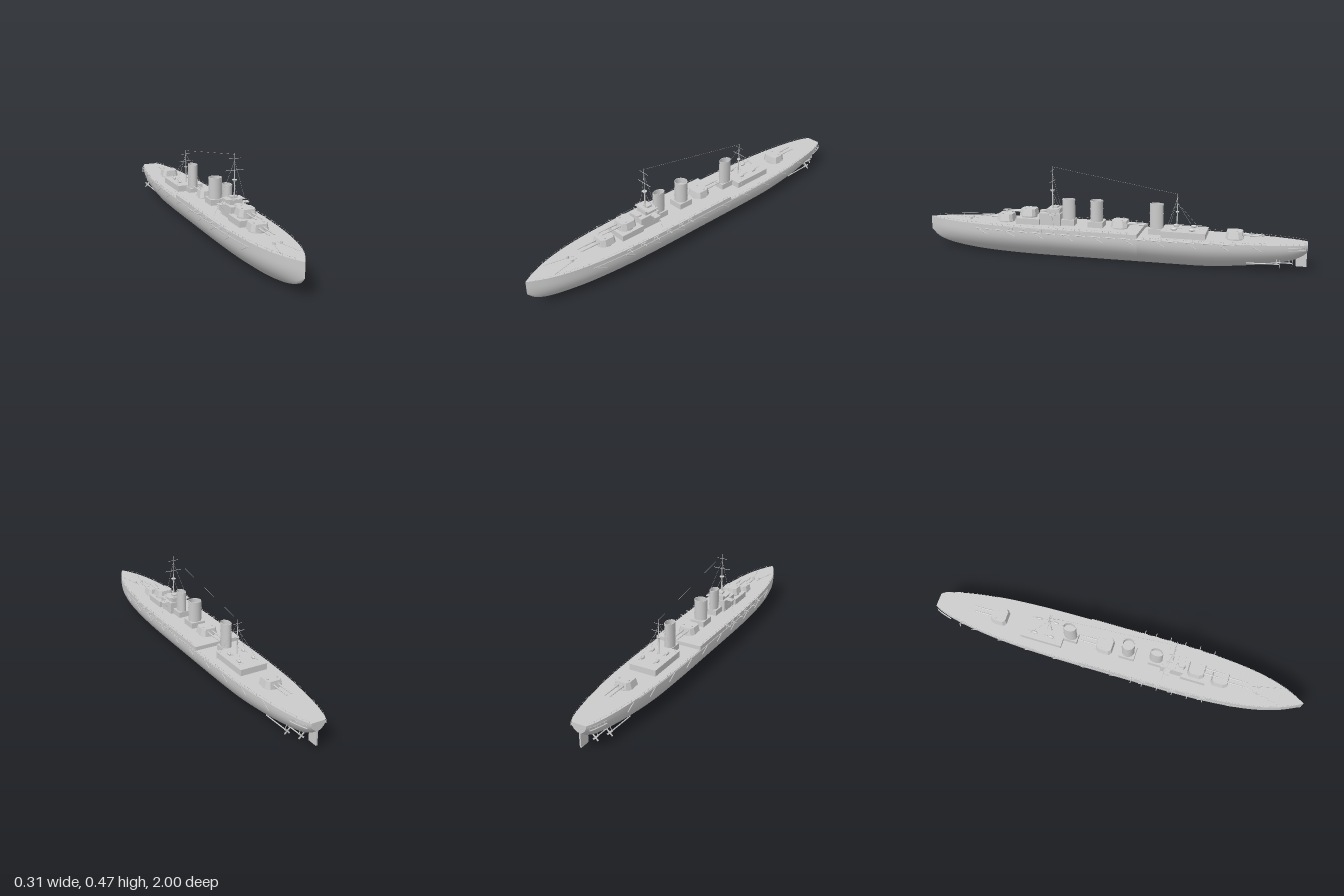
import * as THREE from 'three';
import { mergeGeometries, toCreasedNormals } from 'three/addons/utils/BufferGeometryUtils.js';

const mat = new THREE.MeshStandardMaterial({ color: 0xcccccc });
const two = new THREE.MeshStandardMaterial({ color: 0xcccccc, side: THREE.DoubleSide });
const V = (x, y, z) => new THREE.Vector3(x, y, z);
const FORE = 0.163, AFT = 0.143, STEP = -0.172;

// Hull lines: z, half beam, keel height
const lines = [[-1, 0.037, 0.1], [-0.975, 0.05, 0.08], [-0.92, 0.068, 0.055], [-0.8, 0.092, 0.031],
  [-0.65, 0.11, 0.012], [-0.5, 0.12, 0.001], [-0.3, 0.126, 0], [0, 0.127, 0], [0.3, 0.127, 0], [0.45, 0.123, 0.001],
  [0.6, 0.113, 0.005], [0.72, 0.098, 0.012], [0.82, 0.077, 0.023], [0.9, 0.051, 0.037], [0.96, 0.023, 0.058], [1, 0.001, 0.092]];
const rows = new THREE.CatmullRomCurve3(lines.map(p => V(p[1], Math.max(p[2], 0), p[0]))).getPoints(75);
function at(z) {
  const i = Math.max(1, rows.findIndex(r => r.z >= z));
  const a = rows[i - 1], b = rows[i];
  return a.clone().lerp(b, (z - a.z) / (b.z - a.z));
}
const beam = z => at(z).x;
const deckY = z => (z < STEP ? AFT : FORE);

function mesh(geo, name, parent, x = 0, y = 0, z = 0, m = mat) {
  const o = new THREE.Mesh(geo, m);
  o.name = name;
  o.position.set(x, y, z);
  parent.add(o);
  return o;
}
// Box standing on height y
const box = (name, parent, w, h, d, x, y, z) => mesh(new THREE.BoxGeometry(w, h, d), name, parent, x, y + h / 2, z);
function rodGeo(a, b, r, r2 = r, n = 6) {
  const d = b.clone().sub(a);
  return new THREE.CylinderGeometry(r2, r, d.length(), n)
    .applyQuaternion(new THREE.Quaternion().setFromUnitVectors(V(0, 1, 0), d.clone().normalize()))
    .translate(...a.clone().add(b).multiplyScalar(0.5).toArray());
}
const rods = (name, parent, list) => mesh(mergeGeometries(list.map(l => rodGeo(...l))), name, parent);

function buildHull(g) {
  const stations = rows.map(r => ({ z: r.z, b: r.x, k: Math.max(0, r.y), d: deckY(r.z) }));
  const s = at(STEP);
  const i0 = stations.findIndex(r => r.z > STEP);
  stations.splice(i0, 0, { z: STEP, b: s.x, k: 0, d: AFT }, { z: STEP, b: s.x, k: 0, d: FORE });
  // Half section from keel to the aft deck level, as fractions
  const sec = [[0.28, 0], [0.5, 0.13], [0.69, 0.27], [0.83, 0.42], [0.93, 0.57], [0.985, 0.72], [1, 0.86], [1, 0.985]];
  const half = r => [...sec.map(([u, v]) => [u * r.b, r.k + v * (AFT - r.k)]), [r.b, r.d]];
  const pos = [], idx = [], n = (sec.length + 1) * 2;
  for (const r of stations) {
    const h = half(r);
    for (const p of [...h].reverse()) pos.push(p[0], p[1], r.z);
    for (const p of h) pos.push(-p[0], p[1], r.z);
  }
  for (let i = 0; i < stations.length - 1; i++) for (let j = 0; j < n - 1; j++) {
    const a = i * n + j, b = a + 1, c = a + n, d = c + 1;
    idx.push(a, c, b, b, c, d);
  }
  const shell = new THREE.BufferGeometry();
  shell.setAttribute('position', new THREE.Float32BufferAttribute(pos, 3));
  shell.setIndex(idx);
  shell.computeVertexNormals();
  mesh(shell, 'hull', g, 0, 0, 0, two);
  // Deck strip, including the step between the two levels
  const dp = [];
  for (let i = 0; i < stations.length - 1; i++) {
    const a = stations[i], b = stations[i + 1];
    dp.push(-a.b, a.d, a.z, a.b, a.d, a.z, b.b, b.d, b.z, -a.b, a.d, a.z, b.b, b.d, b.z, -b.b, b.d, b.z);
  }
  const deck = new THREE.BufferGeometry();
  deck.setAttribute('position', new THREE.Float32BufferAttribute(dp, 3));
  deck.computeVertexNormals();
  mesh(deck, 'deck', g, 0, 0, 0, two);
  const end = half(stations[0]);
  const outline = [...end, ...[...end].reverse().map(p => [-p[0], p[1]])].map(p => new THREE.Vector2(...p));
  mesh(new THREE.ShapeGeometry(new THREE.Shape(outline)), 'transom', g, 0, 0, -1, two);
}

function turret(parent, y, z, barbette, dir) {
  const t = new THREE.Group();
  t.name = 'gunTurret';
  t.position.set(0, y, z);
  if (dir < 0) t.rotation.y = Math.PI;
  parent.add(t);
  mesh(new THREE.CylinderGeometry(0.041, 0.041, barbette, 24), 'barbette', t, 0, barbette / 2, 0);
  const plan = [[-0.032, 0.044], [-0.046, 0.022], [-0.046, -0.03], [-0.03, -0.044], [0.03, -0.044], [0.046, -0.03], [0.046, 0.022], [0.032, 0.044]];
  const h = 0.034;
  const geo = new THREE.ExtrudeGeometry(new THREE.Shape(plan.map(p => new THREE.Vector2(...p))), { depth: h, bevelEnabled: false });
  geo.rotateX(Math.PI / 2).translate(0, h, 0);
  const p = geo.attributes.position;
  for (let i = 0; i < p.count; i++) if (p.getY(i) > h / 2) p.setXYZ(i, p.getX(i) * 0.84, h, p.getZ(i) * 0.88);
  geo.computeVertexNormals();
  mesh(geo, 'gunHouse', t, 0, barbette, 0);
  for (const s of [-1, 1]) {
    const gy = barbette + 0.017;
    box('gunPort', t, 0.011, 0.011, 0.012, s * 0.013, gy - 0.0055, 0.039);
    rods('gunBarrel', t, [[V(s * 0.013, gy, 0.03), V(s * 0.013, gy, 0.09), 0.0045, 0.0038, 10],
      [V(s * 0.013, gy, 0.09), V(s * 0.013, gy, 0.145), 0.0034, 0.0026, 10]]);
    box('sightHood', t, 0.007, 0.004, 0.008, s * 0.025, barbette + h, 0.012);
  }
}

function funnel(parent, z, rx, rz, y, baseW, baseD) {
  box('funnelBase', parent, baseW, 0.03, baseD, 0, y, z);
  const h = 0.3 - y;
  const prof = [[1, 0], [1, h], [0.88, h], [0.88, h - 0.03], [0, h - 0.03]].map(q => new THREE.Vector2(...q));
  const f = mesh(toCreasedNormals(new THREE.LatheGeometry(prof, 28), 0.6), 'funnel', parent, 0, y, z, two);
  f.scale.set(rx, 1, rz);
  for (const v of [0.4, 0.68, 0.96]) {
    const r = mesh(new THREE.CylinderGeometry(1.04, 1.04, 0.003, 28, 1, true), 'funnelBand', parent, 0, y + h * v, z, two);
    r.scale.set(rx, 1, rz);
  }
}

function rails(g) {
  const list = [];
  for (const s of [-1, 1]) {
    let prev = null;
    for (let z = -0.99; z < 0.985; z += 0.03) {
      const y = deckY(z), p = V(s * (beam(z) - 0.0015), y + 0.009, z);
      list.push([V(p.x, y, z), p, 0.0007, 0.0007, 4]);
      if (prev && prev.y === p.y) list.push([prev, p, 0.0004, 0.0004, 3]);
      prev = p;
    }
  }
  rods('deckRails', g, list);
}

export function createModel() {
  const g = new THREE.Group();
  g.name = 'warship';
  buildHull(g);
  rails(g);

  // Main battery
  turret(g, FORE, 0.56, 0.008, 1);
  turret(g, FORE, 0.432, 0.042, 1);
  turret(g, FORE, -0.06, 0.008, -1);
  turret(g, AFT, -0.645, 0.008, -1);

  // Forward superstructure and bridge
  box('forwardDeckhouse', g, 0.114, 0.031, 0.13, 0, FORE, 0.425);
  box('bridgeHouse', g, 0.09, 0.062, 0.115, 0, FORE, 0.308);
  box('bridgeWings', g, 0.16, 0.003, 0.034, 0, 0.222, 0.288);
  box('wheelhouse', g, 0.066, 0.022, 0.07, 0, 0.225, 0.292);
  box('upperBridge', g, 0.096, 0.003, 0.062, 0, 0.247, 0.292);
  box('chartHouse', g, 0.034, 0.012, 0.03, 0, 0.247, 0.288);
  mesh(new THREE.CylinderGeometry(0.02, 0.022, 0.07, 16), 'conningTower', g, 0, 0.198, 0.352);
  const wing = [];
  for (const s of [-1, 1]) {
    for (const z of [0.273, 0.303]) {
      for (const x of [0.045, 0.06, 0.078]) wing.push([V(s * x, 0.224, z), V(s * x, 0.232, z), 0.0007]);
      wing.push([V(s * 0.035, 0.232, z), V(s * 0.078, 0.232, z), 0.0005]);
    }
    wing.push([V(s * 0.078, 0.232, 0.273), V(s * 0.078, 0.232, 0.303), 0.0005]);
    wing.push([V(s * 0.072, 0.222, 0.288), V(s * 0.046, 0.19, 0.288), 0.001]);
  }
  rods('bridgeRails', g, wing);

  // Funnels
  funnel(g, 0.215, 0.022, 0.034, FORE, 0.06, 0.07);
  funnel(g, 0.065, 0.034, 0.033, FORE, 0.078, 0.08);
  funnel(g, -0.25, 0.024, 0.035, AFT, 0.052, 0.08);

  // After deckhouse with its light guns
  box('afterDeckhouse', g, 0.144, 0.03, 0.222, 0, AFT, -0.395);
  box('afterDeckhouseRoof', g, 0.148, 0.003, 0.226, 0, AFT + 0.03, -0.395);
  for (const s of [-1, 1]) for (const z of [-0.345, -0.435]) {
    const m = mesh(new THREE.SphereGeometry(1, 12, 8), 'lightGunShield', g, s * 0.04, 0.183, z);
    m.scale.set(0.007, 0.008, 0.016);
    rods('lightGunBarrel', g, [[V(s * 0.04, 0.186, z), V(s * 0.04, 0.188, z - 0.04), 0.0018]]);
  }

  // Masts, yards and rigging
  rods('foremast', g, [[V(0, FORE, 0.303), V(0, 0.345, 0.303), 0.004, 0.003, 8], [V(0, 0.345, 0.303), V(0, 0.47, 0.303), 0.002, 0.001],
    [V(-0.03, 0.445, 0.303), V(0.03, 0.445, 0.303), 0.001], [V(-0.047, 0.388, 0.303), V(0.047, 0.388, 0.303), 0.0013]]);
  mesh(new THREE.CylinderGeometry(0.013, 0.009, 0.008, 12), 'foretop', g, 0, 0.339, 0.303);
  rods('mainmast', g, [[V(0, AFT, -0.355), V(0, 0.27, -0.355), 0.0035, 0.0025, 8], [V(0, 0.27, -0.355), V(0, 0.357, -0.355), 0.002, 0.001],
    [V(-0.025, 0.335, -0.355), V(0.025, 0.335, -0.355), 0.001], [V(-0.038, 0.295, -0.355), V(0.038, 0.295, -0.355), 0.0012]]);
  mesh(new THREE.CylinderGeometry(0.01, 0.007, 0.006, 12), 'maintop', g, 0, 0.262, -0.355);
  const wires = [[V(0, 0.465, 0.303), V(0, 0.354, -0.355), 0.0005, 0.0005, 3]];
  for (const s of [-1, 1]) wires.push(
    [V(0, 0.435, 0.303), V(s * 0.09, FORE, 0.27), 0.0006, 0.0006, 4], [V(0, 0.335, 0.303), V(s * 0.052, FORE, 0.25), 0.0007, 0.0007, 4],
    [V(0, 0.335, -0.355), V(s * 0.085, AFT, -0.3), 0.0006, 0.0006, 4], [V(0, 0.31, -0.355), V(s * 0.05, 0.175, -0.46), 0.0006, 0.0006, 4]);
  rods('rigging', g, wires);

  for (const s of [-1, 1]) {
    // Casemate guns along the side
    for (const z of [0.5, 0.42, 0.34, 0.26, 0.18, 0.12]) {
      box('casemate', g, 0.008, 0.012, 0.03, s * beam(z), 0.146, z);
      rods('casemateGun', g, [[V(s * beam(z), 0.153, z), V(s * (beam(z) + 0.025), 0.153, z), 0.0025, 0.0018, 8]]);
    }
    // Folded net booms and the shelf above them
    const booms = [], shelf = [];
    for (let z = 0.68; z > -0.75; z -= 0.157) {
      const x = beam(z - 0.025) + 0.003;
      booms.push([V(s * x, 0.138, z), V(s * x, 0.112, z - 0.05), 0.002]);
    }
    for (let z = -0.7; z < 0.69; z += 0.05)
      shelf.push([V(s * (beam(z) + 0.002), 0.14, z), V(s * (beam(z + 0.05) + 0.002), 0.14, z + 0.05), 0.002]);
    rods('netBooms', g, booms);
    rods('netShelf', g, shelf);
    // Stern gallery
    const walk = [];
    for (let z = -0.99; z < -0.915; z += 0.012) {
      const x = beam(z) + 0.006, x2 = beam(z + 0.012) + 0.006;
      walk.push([V(s * x, 0.118, z), V(s * x, 0.133, z), 0.0008], [V(s * x, 0.133, z), V(s * x2, 0.133, z + 0.012), 0.001],
        [V(s * x, 0.118, z), V(s * x2, 0.118, z + 0.012), 0.003]);
    }
    rods('sternGallery', g, walk);
    // Anchor chains and capstans
    rods('anchorChain', g, [[V(s * 0.012, FORE + 0.001, 0.73), V(s * 0.045, FORE + 0.001, 0.875), 0.0018]]);
    mesh(new THREE.CylinderGeometry(0.006, 0.007, 0.012, 12), 'capstan', g, s * 0.018, FORE + 0.006, 0.76);
    // Shafts and screws
    for (const [x, z] of [[0.03, -0.93], [0.062, -0.87]]) {
      rods('propellerShaft', g, [[V(s * x, 0.045, z), V(s * x, 0.04, z + 0.16), 0.003], [V(s * x, 0.045, z + 0.015), V(s * x * 0.8, 0.085, z + 0.015), 0.002]]);
      for (let i = 0; i < 4; i++) {
        const b = box('propellerBlade', g, 0.008, 0.018, 0.002, s * x, 0, z);
        b.geometry.translate(0, 0.01, 0);
        b.position.y = 0.045;
        b.rotation.set(0, 0, i * Math.PI / 2 + Math.PI / 4);
      }
    }
  }
  box('rudder', g, 0.008, 0.085, 0.052, 0, 0.024, -0.972);
  return g;
}
